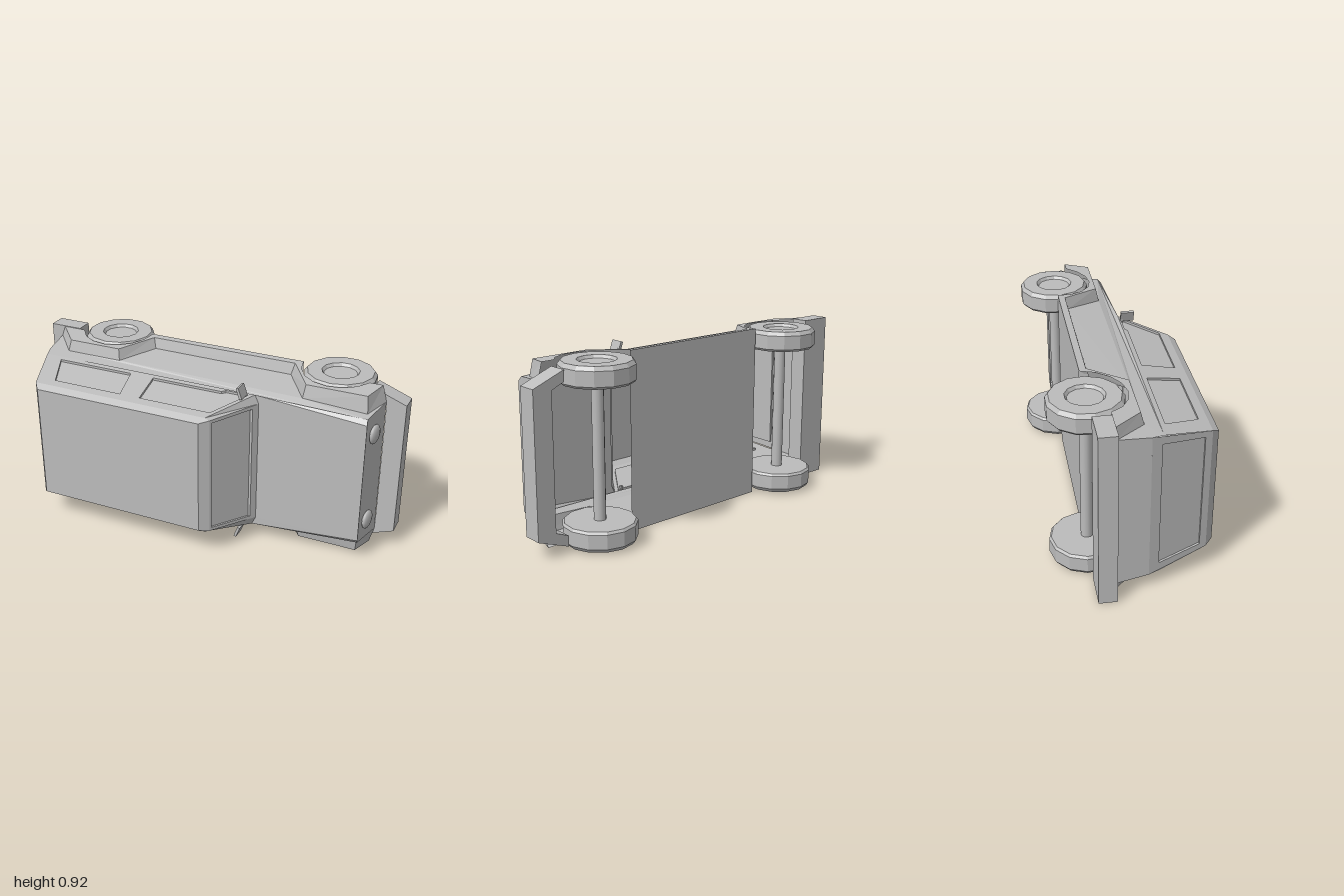
import * as THREE from 'three';

const MID = 0.46; // height of the car's centre line: it rests on its side, roof towards +z
const body = new THREE.MeshStandardMaterial({ color: 0xbcbcbc, side: THREE.DoubleSide });
body.name = 'plainGrey';

// a point from length x, car height z and sideways distance w
const P = (x, z, w) => [x, MID + w, z];

function flatMesh(name, points) {
  const g = new THREE.BufferGeometry();
  g.setAttribute('position', new THREE.Float32BufferAttribute(points.flat(), 3));
  g.computeVertexNormals();
  const m = new THREE.Mesh(g, body);
  m.name = name;
  return m;
}

// triangles of a polygon with holes, each corner placed by map(u, v, depth)
function face(outline, holes, map, depth = 0) {
  const vec = (list) => list.map(([u, v]) => new THREE.Vector2(u, v));
  const all = [...outline, ...holes.flat()];
  return THREE.ShapeUtils.triangulateShape(vec(outline), holes.map(vec))
    .flat().map((i) => map(all[i][0], all[i][1], depth));
}

// band of quads between two rows of points
function band(a, b) {
  const out = [];
  for (let i = 0; i < a.length - 1; i++) out.push(a[i], b[i], b[i + 1], a[i], b[i + 1], a[i + 1]);
  return out;
}

// panel with sunken windows
function windowPanel(name, outline, windows, map) {
  const g = new THREE.Group();
  g.name = name;
  g.add(flatMesh(name + 'Frame', face(outline, windows, map)));
  for (const w of windows) {
    const loop = [...w, w[0]];
    g.add(flatMesh('windowRim', band(loop.map((p) => map(p[0], p[1], 0)), loop.map((p) => map(p[0], p[1], 0.012)))));
    g.add(flatMesh('windowGlass', face(w, [], map, 0.012)));
  }
  return g;
}

// half width of the body side, and of the flares
const sideW = (x, z) => 0.375 - (z > 0.105 ? 0.208 : 0.1) * (z - 0.105) - Math.max(0, x - 0.3) * 0.05;
const flareW = (z) => 0.44 - 0.08 * (z - 0.02);

const FLARE_TOP = [[-0.94, -0.11], [-0.81, 0.035], [-0.5, 0.035], [-0.38, -0.15], [0.39, -0.15], [0.52, 0.035], [0.85, 0.035], [0.9, -0.11]];
const FLARE_EDGE = [[-0.92, -0.11], [-0.8, 0.02], [-0.51, 0.02], [-0.395, -0.165], [0.405, -0.165], [0.53, 0.02], [0.84, 0.02], [0.878, -0.11]];
const AXLES = [-0.62, 0.635];

function arch(cx, from, to) {
  return Array.from({ length: 8 }, (_, i) => {
    const a = THREE.MathUtils.degToRad(from + (to - from) * i / 7);
    return [cx + 0.197 * Math.cos(a), -0.2 + 0.197 * Math.sin(a)];
  });
}

function makeSide(s) {
  const g = new THREE.Group();
  g.name = s > 0 ? 'upperSide' : 'lowerSide';
  const onSide = (x, z, d) => P(x, z, s * (sideW(x, z) - d));
  const onFlare = (x, z) => P(x, z, s * flareW(z));

  // cabin side with two windows
  g.add(windowPanel('cabinSide', [[-0.901, 0.105], [0.3, 0.105], [0.14, 0.345], [-0.82, 0.345]], [
    [[-0.8, 0.13], [-0.38, 0.13], [-0.35, 0.3], [-0.73, 0.3]],
    [[-0.25, 0.13], [0.13, 0.13], [0.15, 0.115], [0.27, 0.115], [0.145, 0.3], [-0.24, 0.3]],
  ], onSide));

  // lower side down to the flares
  g.add(flatMesh('lowerBodySide', face(
    [[-0.901, 0.105], [-0.92, 0.05], ...FLARE_TOP, [0.865, 0.08], [0.3, 0.105]], [], onSide)));

  // flares and sill, with the wheel openings
  g.add(flatMesh('flareLedge', band(FLARE_TOP.map(([x, z]) => onSide(x, z, 0)), FLARE_EDGE.map(([x, z]) => onFlare(x, z)))));
  g.add(flatMesh('flarePanel', face([...FLARE_EDGE, ...arch(AXLES[1], 27, 180), ...arch(AXLES[0], 0, 153)], [], onFlare)));

  // bevel along roof, windscreen pillar and bonnet
  const low = [[-0.82, 0.345], [0.14, 0.345], [0.14, 0.345], [0.3, 0.105], [0.865, 0.08]].map(([x, z]) => onSide(x, z, 0));
  g.add(flatMesh('shoulderBevel', band(low, topEdge(s))));

  // door mirror on a short arm
  const mirror = new THREE.Mesh(new THREE.BoxGeometry(0.014, 0.06, 0.07), body);
  mirror.name = 'doorMirror';
  mirror.position.set(...P(0.245, 0.145, s * 0.4));
  mirror.rotation.z = s * 0.35;
  const arm = new THREE.Mesh(new THREE.BoxGeometry(0.012, 0.05, 0.012), body);
  arm.name = 'mirrorArm';
  arm.position.set(...P(0.25, 0.115, s * 0.37));
  g.add(mirror, arm);

  // shallow domed headlight
  const lamp = new THREE.Mesh(new THREE.SphereGeometry(0.05, 14, 8), body);
  lamp.name = 'headlight';
  lamp.scale.x = 0.35;
  lamp.position.set(...P(0.887, 0.01, s * 0.243));
  lamp.rotation.y = -0.17;
  g.add(lamp);
  return g;
}

function topEdge(s) {
  return [[-0.79, 0.38, 0.305], [0.12, 0.38, 0.305], [0.165, 0.345, 0.315], [0.32, 0.105, 0.33], [0.87, 0.1, 0.325]]
    .map(([x, z, w]) => P(x, z, s * w));
}

function makeWheel(x, s) {
  const profile = [[0.001, 0], [0.175, 0], [0.185, 0.012], [0.185, 0.085], [0.17, 0.105], [0.096, 0.105], [0.085, 0.09], [0.001, 0.09]];
  const g = new THREE.LatheGeometry(profile.map(([r, h]) => new THREE.Vector2(r, h)), 13).toNonIndexed();
  g.computeVertexNormals();
  const wheel = new THREE.Mesh(g, body);
  wheel.name = 'wheel';
  wheel.position.set(...P(x, -0.2, s * 0.34));
  if (s < 0) wheel.rotation.x = Math.PI;
  return wheel;
}

// plan outline in x and w, given thickness along z
function slab(name, outline, z0, z1) {
  const shape = new THREE.Shape(outline.map(([x, w]) => new THREE.Vector2(x, w)));
  const m = new THREE.Mesh(new THREE.ExtrudeGeometry(shape, { depth: z1 - z0, bevelEnabled: false }), body);
  m.name = name;
  m.position.set(0, MID, z0);
  return m;
}

export function createModel() {
  const car = new THREE.Group();
  car.name = 'car';
  car.add(makeSide(1), makeSide(-1));

  // roof, roof lip and bonnet
  const a = topEdge(1), b = topEdge(-1);
  [['roof', 0], ['roofLip', 1], ['bonnet', 3]].forEach(([name, i]) =>
    car.add(flatMesh(name, band(a.slice(i, i + 2), b.slice(i, i + 2)))));

  // windscreen
  car.add(windowPanel('windscreen', [[-0.33, 0.105], [0.33, 0.105], [0.315, 0.345], [-0.315, 0.345]],
    [[[-0.31, 0.135], [0.31, 0.135], [0.298, 0.333], [-0.298, 0.333]]],
    (w, z, d) => P(0.32 - (z - 0.105) * 0.646 - d, z, w)));

  // tailgate, its top bevel and lower part
  const t = sideW(-0.82, 0.345), m = sideW(-0.92, 0.05), l = sideW(-0.94, -0.11);
  car.add(windowPanel('tailgate', [[-m, 0.05], [m, 0.05], [t, 0.345], [-t, 0.345]],
    [[[-0.33, 0.1], [0.33, 0.1], [0.3, 0.31], [-0.3, 0.31]]],
    (w, z, d) => P(-0.82 - (0.345 - z) * 0.339 + d, z, w)));
  car.add(flatMesh('tailBevel', band([a[0], b[0]], [P(-0.82, 0.345, t), P(-0.82, 0.345, -t)])));
  car.add(flatMesh('lowerTail', band([P(-0.92, 0.05, m), P(-0.92, 0.05, -m)], [P(-0.94, -0.11, l), P(-0.94, -0.11, -l)])));

  // nose
  const n = sideW(0.865, 0.08), k = sideW(0.9, -0.11);
  const noseRow = (s) => [a[4][0], 0.865, 0.9].map((x, i) => P(x, [0.1, 0.08, -0.11][i], s * [0.325, n, k][i]));
  car.add(flatMesh('nose', band(noseRow(1), noseRow(-1))));

  // floor between the wheels
  const f = flareW(-0.2);
  car.add(flatMesh('floor', band([P(-0.423, -0.2, f), P(0.438, -0.2, f)], [P(-0.423, -0.2, -f), P(0.438, -0.2, -f)])));

  // bumpers
  car.add(slab('frontBumper', [[1, -0.36], [1, 0.36], [0.83, 0.425], [0.83, 0.37], [0.9, 0.34], [0.9, -0.34], [0.83, -0.37], [0.83, -0.425]], -0.213, -0.115));
  car.add(slab('rearBumper', [[-1, -0.454], [-0.825, -0.454], [-0.825, 0.454], [-1, 0.454]], -0.2, -0.11));

  // axles and wheels
  for (const x of AXLES) {
    const axle = new THREE.Mesh(new THREE.CylinderGeometry(0.03, 0.03, 0.7, 12), body);
    axle.name = 'axle';
    axle.position.set(...P(x, -0.2, 0));
    car.add(axle, makeWheel(x, 1), makeWheel(x, -1));
  }
  return car;
}
